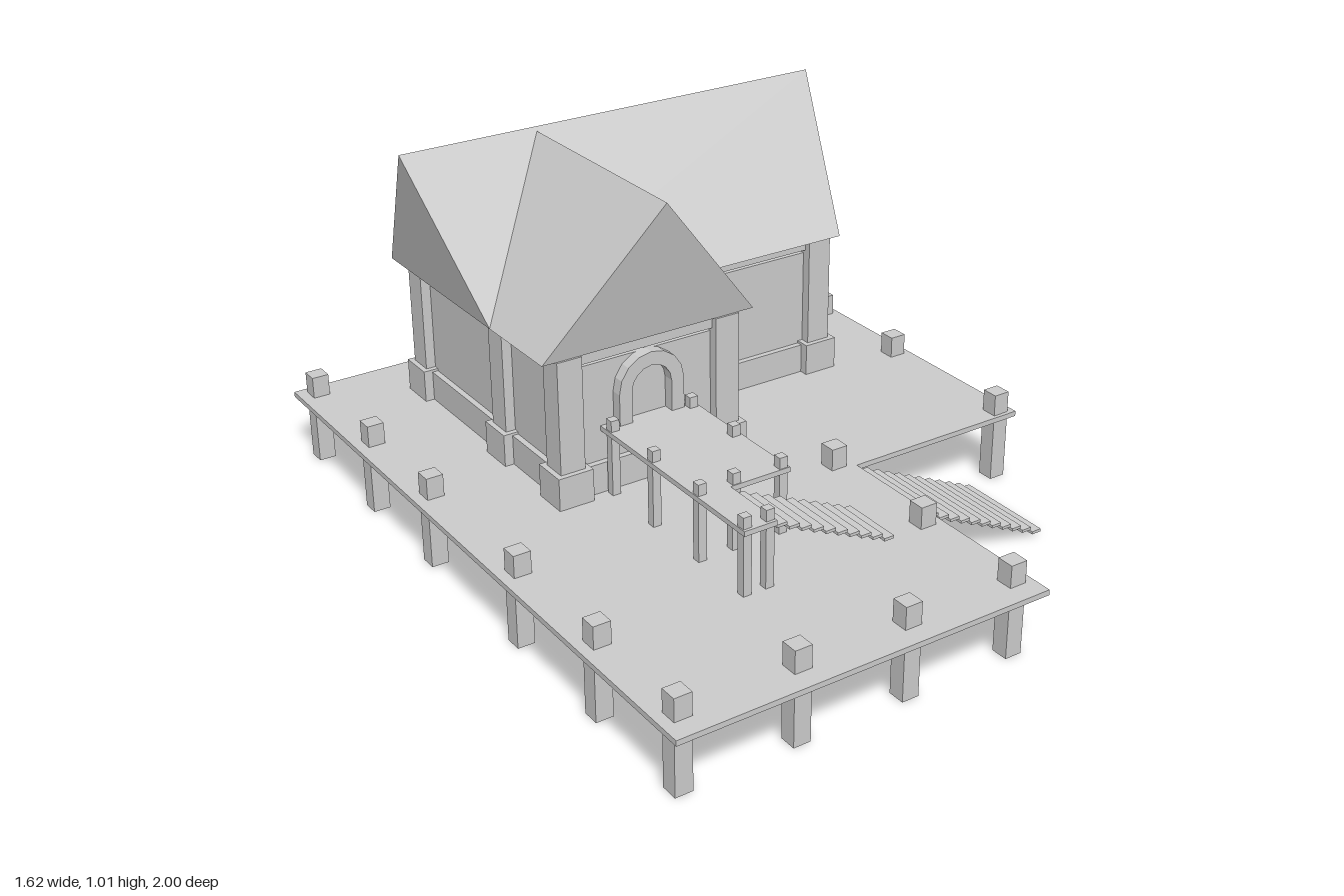
import * as THREE from 'three';
import { ConvexGeometry } from 'three/addons/geometries/ConvexGeometry.js';

export function createModel() {
  const model = new THREE.Group();
  const mat = new THREE.MeshStandardMaterial({ color: 0xcccccc, flatShading: true });

  function add(name, geometry, parent = model) {
    const mesh = new THREE.Mesh(geometry, mat);
    mesh.name = name;
    parent.add(mesh);
    return mesh;
  }
  function group(name) {
    const g = new THREE.Group();
    g.name = name;
    model.add(g);
    return g;
  }
  // box from its centre in x and z, and its bottom and top
  function block(name, x, z, w, d, y0, y1, parent) {
    add(name, new THREE.BoxGeometry(w, y1 - y0, d), parent).position.set(x, (y0 + y1) / 2, z);
  }
  // floor plan given as [x, z] corners, raised from y0 to y1
  function slab(name, plan, y0, y1, parent) {
    const shape = new THREE.Shape(plan.map(([x, z]) => new THREE.Vector2(x, -z)));
    const geo = new THREE.ExtrudeGeometry(shape, { depth: y1 - y0, bevelEnabled: false });
    geo.rotateX(-Math.PI / 2).translate(0, y0, 0);
    add(name, geo, parent);
  }

  // L-shaped deck on piles
  slab('deck', [[-0.81, 1], [0.25, 1], [0.25, 0.25], [0.81, 0.25], [0.81, -1], [-0.81, -1]], 0.185, 0.2);
  const piles = group('piles');
  const pileSpots = [
    ...[-0.755, -0.385, -0.01, 0.41, 0.765].map((x) => [x, -0.955]),
    ...[-0.595, -0.245, 0.215, 0.585].map((z) => [-0.755, z]),
    ...[-0.595, -0.245, 0.215].map((z) => [0.765, z]),
    ...[0.215, 0.585].map((z) => [0.2, z]),
    ...[-0.755, -0.435, -0.12, 0.2].map((x) => [x, 0.92]),
  ];
  for (const [x, z] of pileSpots) block('pile', x, z, 0.048, 0.048, 0, 0.262, piles);

  // house walls: the same plan grown by a margin e
  const house = group('house');
  const plan = (e) => [
    [-0.475 - e, -0.03 + e], [e, -0.03 + e], [e, -0.32 + e],
    [0.515 + e, -0.32 + e], [0.515 + e, -0.785 - e], [-0.475 - e, -0.785 - e],
  ];
  slab('skirting', plan(0.025), 0.2, 0.285, house);
  slab('walls', plan(0.008), 0.285, 0.565, house);
  slab('wallRecess', plan(-0.015), 0.565, 0.576, house);
  slab('topBeam', plan(0.018), 0.576, 0.608, house);

  // corner columns on wider bases
  for (const [x, z] of [...plan(0), [-0.475, -0.32]]) {
    block('column', x, z, 0.072, 0.072, 0.2, 0.608, house);
    block('columnBase', x, z, 0.102, 0.102, 0.2, 0.292, house);
  }

  // roofs: wedges whose ridge overhangs the eaves
  const wedge = (pts) => new ConvexGeometry(pts.map((p) => new THREE.Vector3(...p)));
  const eave = 0.608;
  add('mainRoof', wedge([
    [-0.55, eave, -0.27], [0.575, eave, -0.27], [-0.55, eave, -0.84], [0.575, eave, -0.84],
    [-0.635, 1.01, -0.56], [0.66, 1.01, -0.56],
  ]), house);
  add('wingRoof', wedge([
    [-0.55, eave, 0], [0.085, eave, 0], [-0.55, eave, -0.27], [0.085, eave, -0.27],
    [-0.235, 1, 0.09], [-0.235, 1, -0.55],
  ]), house);

  // faceted door arches
  function arch(name, x, y0, top, z, R, r) {
    const cy = top - R, n = 8;
    const outer = [[R, y0]], inner = [[r, y0]];
    for (let i = 0; i <= n; i++) {
      const a = (i / n) * Math.PI;
      outer.push([R * Math.cos(a), cy + R * Math.sin(a)]);
      inner.push([r * Math.cos(a), cy + r * Math.sin(a)]);
    }
    outer.push([-R, y0]);
    inner.push([-r, y0]);
    const shape = new THREE.Shape([...outer, ...inner.reverse()].map((p) => new THREE.Vector2(...p)));
    const geo = new THREE.ExtrudeGeometry(shape, { depth: 0.06, bevelEnabled: false });
    add(name, geo.translate(x, 0, z), house);
  }
  arch('upperDoorArch', -0.237, 0.38, 0.57, -0.05, 0.098, 0.06);
  arch('lowerDoorArch', 0.1, 0.2, 0.385, -0.34, 0.088, 0.055);

  // raised porch with posts
  const porch = group('porch');
  slab('porchFloor', [[-0.375, 0.625], [-0.28, 0.625], [-0.28, 0.43], [-0.102, 0.43], [-0.102, -0.03], [-0.375, -0.03]],
    0.37, 0.384, porch);
  const posts = [
    [-0.36, 0.015], [-0.12, 0.015], [-0.36, 0.21], [-0.12, 0.21], [-0.36, 0.415],
    [-0.26, 0.415], [-0.12, 0.415], [-0.36, 0.605], [-0.295, 0.605],
  ];
  for (const [x, z] of posts) block('porchPost', x, z, 0.024, 0.024, 0.2, 0.415, porch);

  // open stairs descending towards +x
  function stairs(name, count, x0, y0, dy, z, depth) {
    const g = group(name);
    for (let i = 0; i < count; i++) {
      const y = y0 - i * dy;
      block('tread', x0 + i * 0.0365, z, 0.03, depth, y - 0.004, y + 0.004, g);
    }
  }
  stairs('porchStairs', 10, -0.259, 0.36, 0.0163, 0.525, 0.18);
  stairs('deckStairs', 11, 0.265, 0.184, 0.0167, 0.405, 0.295);

  return model;
}
